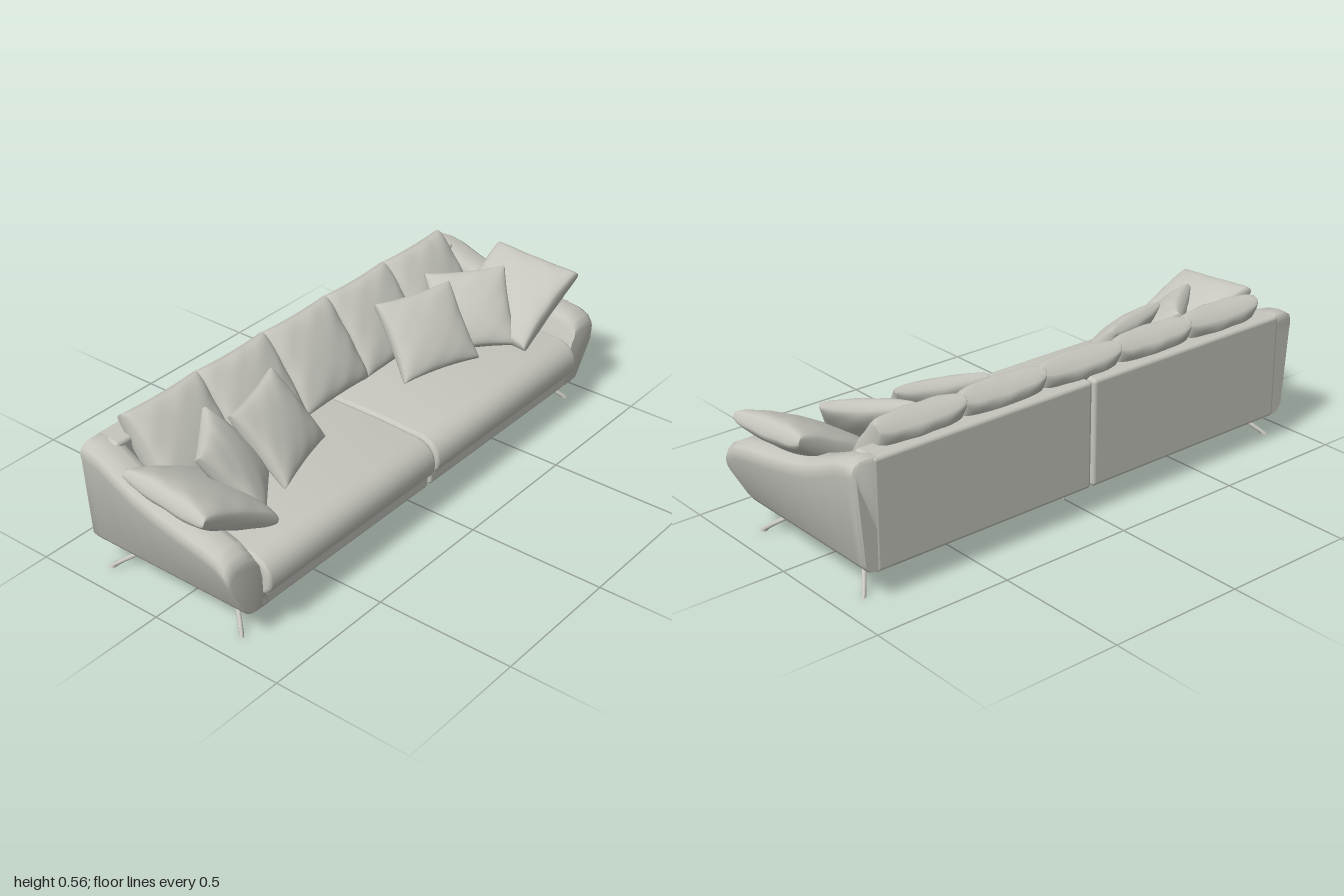
import * as THREE from 'three';
import { mergeVertices, toCreasedNormals } from 'three/addons/utils/BufferGeometryUtils.js';
import { RoundedBoxGeometry } from 'three/addons/geometries/RoundedBoxGeometry.js';

const fabric = new THREE.MeshStandardMaterial({ color: 0xc6c6be });
fabric.name = 'paleGreyFabric';

// Skin a list of closed rings and cap both ends
function loft(rings, crease) {
  const n = rings[0].length, index = [];
  const at = (i, j) => i * n + (j % n);
  for (let i = 0; i < rings.length - 1; i++) {
    for (let j = 0; j < n; j++) {
      const a = at(i, j), b = at(i, j + 1), c = at(i + 1, j + 1), d = at(i + 1, j);
      index.push(a, d, b, b, d, c);
    }
  }
  const last = rings.length - 1;
  for (let j = 1; j < n - 1; j++) {
    index.push(at(0, 0), at(0, j), at(0, j + 1));
    index.push(at(last, 0), at(last, j + 1), at(last, j));
  }
  const geo = new THREE.BufferGeometry().setFromPoints(rings.flat());
  geo.setIndex(index);
  return toCreasedNormals(geo, crease);
}

// Stuffed cushion: thick in the middle, pinched seam, pulled-out corners
function cushionGeometry(w, h, t, fullness, pinch, phase) {
  const geo = new THREE.BoxGeometry(2, 2, 2, 20, 20, 1);
  geo.deleteAttribute('uv');
  geo.deleteAttribute('normal');
  const p = geo.attributes.position;
  for (let i = 0; i < p.count; i++) {
    const u = p.getX(i), v = p.getY(i), side = p.getZ(i);
    const us = Math.sin(u * Math.PI / 2), vs = Math.sin(v * Math.PI / 2);
    const puff = Math.pow(Math.max(0, (1 - us * us) * (1 - vs * vs)), fullness);
    const edge = Math.max(us * us, vs * vs);
    const fold = 1 + 0.07 * edge * Math.sin(9 * us + phase) * Math.cos(8 * vs - phase);
    p.setXYZ(i,
      us * w / 2 * (1 - pinch * (1 - vs * vs)),
      vs * h / 2 * (1 - pinch * (1 - us * us)),
      side * (0.006 + (t / 2 - 0.006) * puff * fold));
  }
  const smooth = mergeVertices(geo, 1e-5);
  smooth.computeVertexNormals();
  return smooth;
}

// Seat cushion: side profile run along x with soft ends
function seatGeometry(length) {
  const s = new THREE.Shape();
  s.moveTo(-0.25, 0.16);
  s.lineTo(0.3, 0.16);
  s.quadraticCurveTo(0.33, 0.16, 0.331, 0.195);
  s.quadraticCurveTo(0.333, 0.255, 0.27, 0.268);
  s.lineTo(0.1, 0.275);
  s.lineTo(-0.25, 0.275);
  const b = 0.014;
  const geo = new THREE.ExtrudeGeometry(s, {
    depth: length - 2 * b, bevelSize: b, bevelThickness: b, bevelSegments: 4, curveSegments: 10,
  });
  geo.translate(0, 0, -(length - 2 * b) / 2);
  geo.rotateY(-Math.PI / 2);
  return toCreasedNormals(geo, 0.7);
}

// Arm: flared cross-section whose height follows the sweeping top line
function armGeometry(side) {
  const line = [[0.315, 0.295, 0.015], [0.31, 0.315, 0.004], [0.295, 0.335, 0], [0.26, 0.354, 0],
    [0.2, 0.366, 0], [0.1, 0.378, 0], [0, 0.393, 0], [-0.1, 0.415, 0], [-0.18, 0.445, 0],
    [-0.25, 0.475, 0], [-0.3, 0.486, 0], [-0.335, 0.485, 0], [-0.343, 0.475, 0.008]];
  const rings = line.map(([z, h, inset]) => {
    const xo = 0.955 + 0.045 * (z + 0.345) / 0.66 - inset;
    const ring = [[0.82, 0.097 + inset / 2], [0.875 - inset, 0.097 + inset / 2],
      [0.91 - inset, 0.108], [0.93 - inset, 0.135],
      [xo - 0.004, h - 0.06], [xo, h - 0.035], [xo - 0.008, h - 0.014], [xo - 0.03, h],
      [xo - 0.09, h], [xo - 0.115, h - 0.008], [xo - 0.128, h - 0.03]]
      .map(([x, y]) => new THREE.Vector3(side * x, y, z));
    return side > 0 ? ring : ring.reverse();
  });
  return loft(rings, 0.75);
}

// Splayed leg: slim tapering blade from the underside to the foot
function legGeometry(sx, top, foot) {
  const dir = new THREE.Vector3(sx * 0.11, 0, foot - top).normalize();
  const across = new THREE.Vector3(0, 1, 0).cross(dir);
  const steps = [[0.105, 0, 0.024], [0.085, 0.2, 0.02], [0.06, 0.47, 0.017],
    [0.03, 0.77, 0.015], [0.01, 0.95, 0.014], [0, 1, 0.012]];
  const rings = steps.map(([y, t, a]) => {
    const c = new THREE.Vector3(sx * (0.79 + 0.11 * t), y, top + (foot - top) * t);
    return Array.from({ length: 10 }, (_, k) => {
      const q = k / 10 * Math.PI * 2;
      return c.clone().addScaledVector(dir, Math.cos(q) * a).addScaledVector(across, Math.sin(q) * 0.008);
    });
  });
  return loft(rings, 0.8);
}

export function createModel() {
  const sofa = new THREE.Group();
  sofa.name = 'sofa';
  const add = (name, geo, x = 0, y = 0, z = 0) => {
    const m = new THREE.Mesh(geo, fabric);
    m.name = name;
    m.position.set(x, y, z);
    sofa.add(m);
    return m;
  };

  for (const s of [1, -1]) {
    const label = s > 0 ? 'left' : 'right';

    // Frame halves, split by a narrow centre seam
    add(label + 'BaseRail', new RoundedBoxGeometry(0.86, 0.054, 0.65, 4, 0.014), s * 0.433, 0.124, -0.01);
    add(label + 'BackPanel', new RoundedBoxGeometry(0.88, 0.388, 0.1, 4, 0.014), s * 0.443, 0.291, -0.295);
    add(label + 'Arm', armGeometry(s));
    add(label + 'SeatCushion', seatGeometry(0.842), s * 0.424, 0, 0);

    // Legs
    add(label + 'FrontLeg', legGeometry(s, 0.14, 0.27));
    add(label + 'BackLeg', legGeometry(s, -0.15, -0.293));

    // Cushion lying over the arm
    const armCushion = add(label + 'ArmCushion', cushionGeometry(0.37, 0.345, 0.115, 0.3, 0.04, 1 + s),
      s * 0.83, 0.39, 0.06);
    armCushion.rotation.set(-Math.PI / 2 + 0.09, 0, s * 0.48, 'ZXY');

    // Scatter pillows leaning back and turned toward the middle
    const inner = add(label + 'InnerPillow', cushionGeometry(0.32, 0.295, 0.11, 0.4, 0.06, 2 * s),
      s * 0.4, 0.405, -0.005);
    inner.rotation.set(-0.7, -s * 0.3, 0, 'YXZ');
    const outer = add(label + 'OuterPillow', cushionGeometry(0.3, 0.295, 0.11, 0.4, 0.06, 3 * s),
      s * 0.635, 0.4, 0.015);
    outer.rotation.set(-0.74, -s * 0.68, 0, 'YXZ');
  }

  // Row of five back cushions
  for (let i = -2; i <= 2; i++) {
    const c = add('backCushion' + (i + 3), cushionGeometry(0.34, 0.325, 0.145, 0.27, 0.035, i * 1.7),
      i * 0.327, 0.418, -0.19);
    c.rotation.x = -0.64;
  }

  // Centre support post
  add('centreLeg', new THREE.CylinderGeometry(0.005, 0.005, 0.1, 12), 0, 0.05, -0.203);
  return sofa;
}
